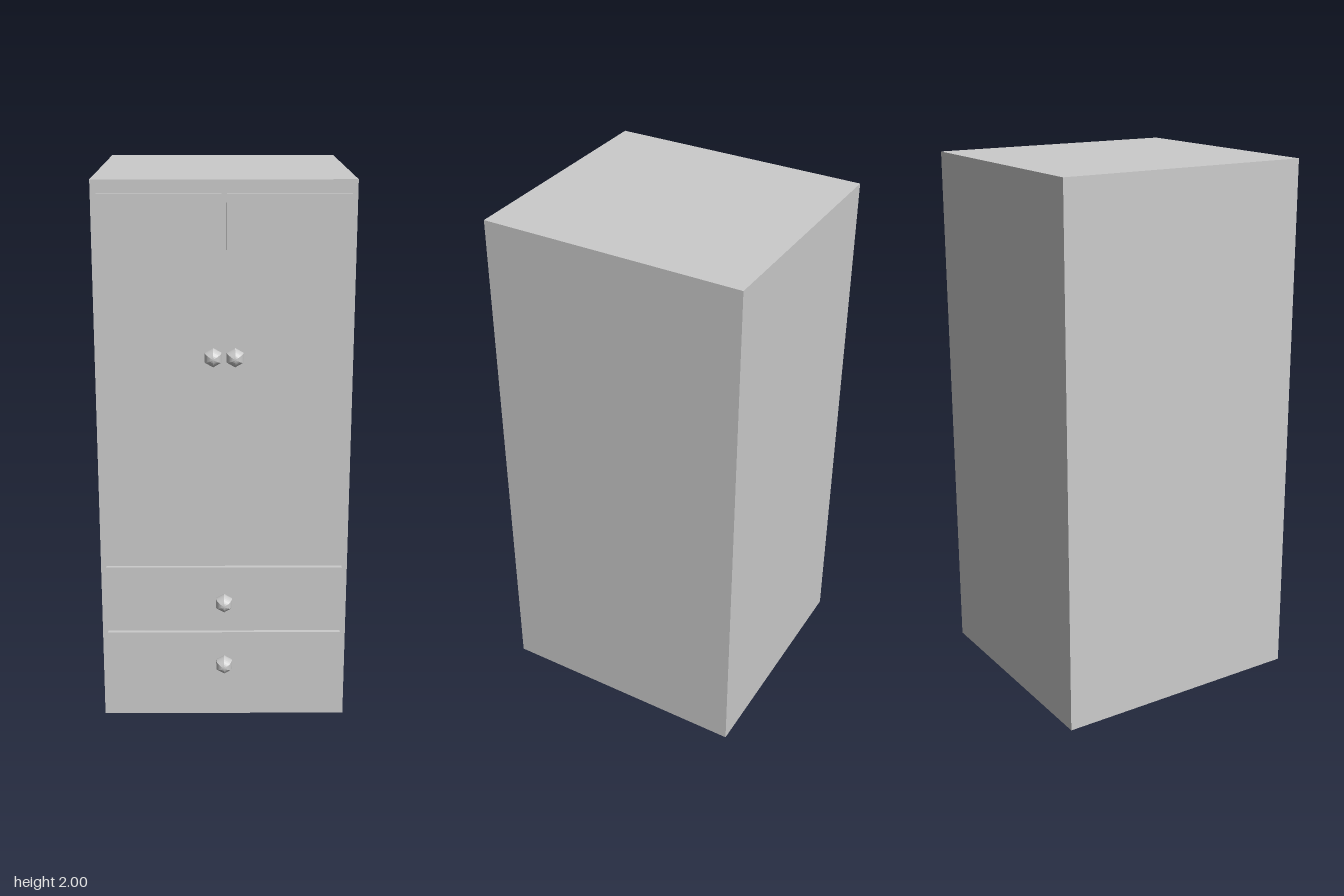
import * as THREE from 'three';

export function createModel() {
  const group = new THREE.Group();
  const material = new THREE.MeshStandardMaterial({ color: 0xcccccc, flatShading: true });

  const add = (name, geometry, x, y, z) => {
    const mesh = new THREE.Mesh(geometry, material);
    mesh.name = name;
    mesh.position.set(x, y, z);
    group.add(mesh);
  };

  const back = -0.527, front = 0.446, panelFront = 0.462;

  // Cabinet body
  add('cabinetBody', new THREE.BoxGeometry(0.9, 2, front - back), 0, 1, (front + back) / 2);

  // Raised front panels, sunk slightly into the body
  const panel = (name, x0, x1, y0, y1) => {
    const depth = panelFront - front + 0.01;
    add(name, new THREE.BoxGeometry(x1 - x0, y1 - y0, depth),
      (x0 + x1) / 2, (y0 + y1) / 2, panelFront - depth / 2);
  };
  panel('rightDoor', -0.43, -0.009, 0.655, 1.955);
  panel('leftDoor', 0.009, 0.43, 0.655, 1.955);
  panel('upperDrawer', -0.43, 0.43, 0.363, 0.605);
  panel('lowerDrawer', -0.43, 0.43, 0.12, 0.345);

  // Six-sided round knobs, poles facing front, a corner pointing up
  const knob = new THREE.SphereGeometry(0.0335, 6, 16).rotateX(Math.PI / 2).rotateZ(Math.PI / 2);
  const knobs = [
    ['rightDoorKnob', -0.038, 1.4],
    ['leftDoorKnob', 0.038, 1.4],
    ['upperDrawerKnob', 0, 0.478],
    ['lowerDrawerKnob', 0, 0.23],
  ];
  for (const [name, x, y] of knobs) add(name, knob, x, y, 0.494);

  return group;
}
